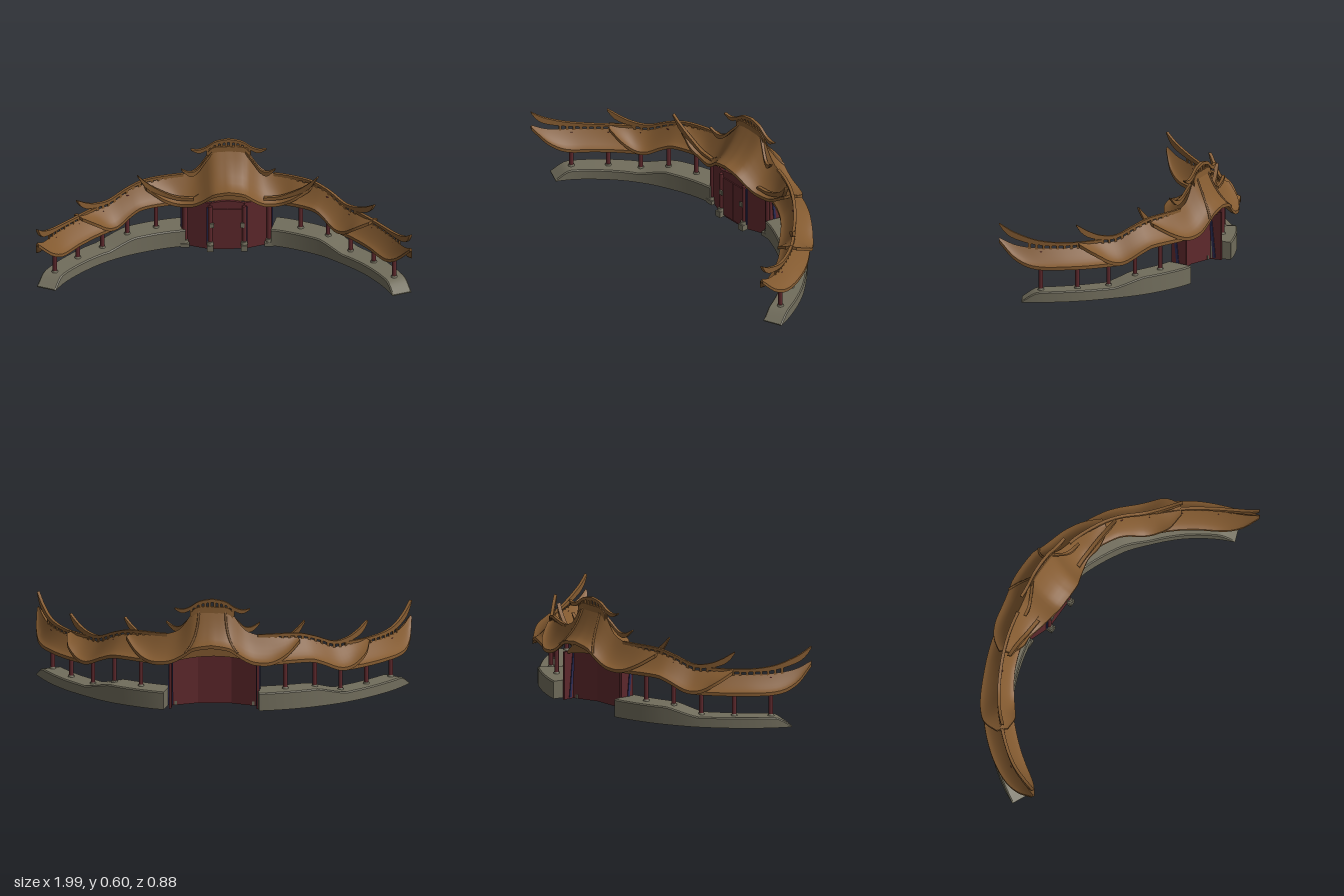
import * as THREE from 'three';
import { toCreasedNormals } from 'three/addons/utils/BufferGeometryUtils.js';

const material = (name, color) => {
  const m = new THREE.MeshStandardMaterial({ color, side: THREE.DoubleSide });
  m.name = name;
  return m;
};

// plan curve of the gallery, [x, z]
const plan = new THREE.CatmullRomCurve3([
  [-0.99, 0.33], [-0.89, 0.13], [-0.76, -0.025], [-0.63, -0.135], [-0.5, -0.21], [-0.35, -0.27],
  [-0.2, -0.305], [0.03, -0.32], [0.27, -0.3], [0.41, -0.25], [0.56, -0.165], [0.68, -0.06],
  [0.8, 0.07], [0.9, 0.23], [0.985, 0.44],
].map(([x, z]) => new THREE.Vector3(x, 0, z)));
const planLength = plan.getLength();

// frame at distance s from the middle; inner points to the courtyard side
function at(s) {
  const u = THREE.MathUtils.clamp(0.5 + s / planLength, 0, 1);
  const p = plan.getPointAt(u), t = plan.getTangentAt(u);
  return { p, inner: new THREE.Vector3(-t.z, 0, t.x) };
}
function place(s, y, offset = 0) {
  const { p, inner } = at(s);
  return p.addScaledVector(inner, offset).setY(y);
}

// smooth interpolation of a key table; the first column is the key
function interp(keys, s) {
  let i = 0;
  while (i < keys.length - 2 && s > keys[i + 1][0]) i++;
  const a = keys[i], b = keys[i + 1], p = keys[i - 1] || a, n = keys[i + 2] || b;
  const d = b[0] - a[0], t = THREE.MathUtils.clamp((s - a[0]) / d, 0, 1);
  return a.map((v, c) => {
    const ma = (b[c] - p[c]) / (b[0] - p[0]) * d, mb = (n[c] - v) / (n[0] - a[0]) * d;
    const t2 = t * t, t3 = t2 * t;
    return v * (2 * t3 - 3 * t2 + 1) + ma * (t3 - 2 * t2 + t) + b[c] * (3 * t2 - 2 * t3) + mb * (t3 - t2);
  });
}

// closed solid along the plan; ring(s) lists [offset, y] over the top, then back underneath
function loft(s0, s1, steps, ring, crease = 0.6) {
  const pos = [], index = [];
  let n = 0;
  for (let i = 0; i <= steps; i++) {
    const s = s0 + (s1 - s0) * i / steps;
    const pts = ring(s);
    n = pts.length;
    const { p, inner } = at(s);
    for (const [o, y] of pts) pos.push(p.x + inner.x * o, y, p.z + inner.z * o);
  }
  const quad = (a, b, c, d) => index.push(a, b, c, a, c, d);
  for (let i = 0; i < steps; i++) for (let j = 0; j < n; j++) {
    const k = (j + 1) % n;
    quad(i * n + j, i * n + k, (i + 1) * n + k, (i + 1) * n + j);
  }
  const e = steps * n;
  for (let j = 0; j < n / 2 - 1; j++) {
    quad(n - 1 - j, n - 2 - j, j + 1, j);
    quad(e + j, e + j + 1, e + n - 2 - j, e + n - 1 - j);
  }
  const g = new THREE.BufferGeometry();
  g.setAttribute('position', new THREE.Float32BufferAttribute(pos, 3));
  g.setIndex(index);
  return toCreasedNormals(g, crease);
}

// concave roof section from [s, ridge, eave, outer width, inner width]
const roofRing = (keys, power = 1.5) => (s) => {
  const [, ridge, eave, wOut, wIn] = interp(keys, Math.abs(s));
  const top = [], under = [];
  for (let j = -6; j <= 6; j++) {
    const k = j / 6, o = k * (k < 0 ? wOut : wIn);
    const y = eave + (ridge - eave) * Math.pow(1 - Math.abs(k), power);
    top.push([o, y + 0.012]);
    under.unshift([o, y - 0.006]);
  }
  return [...top, ...under];
};
// rectangular bar from [s, y, height, offset]
const barRing = (keys, half = 0.008) => (s) => {
  const [, y, h, o] = interp(keys, Math.abs(s));
  return [[o - half, y + h / 2], [o + half, y + h / 2], [o + half, y - h / 2], [o - half, y - h / 2]];
};

const endRoof = [[0.7, 0.275, 0.19, 0.085, 0.075], [0.95, 0.272, 0.19, 0.08, 0.078], [1.12, 0.278, 0.195, 0.062, 0.075],
  [1.22, 0.295, 0.24, 0.04, 0.052], [1.3, 0.332, 0.322, 0.008, 0.008]];
const middleRoof = [[0.28, 0.365, 0.262, 0.088, 0.07], [0.5, 0.355, 0.262, 0.09, 0.07], [0.56, 0.335, 0.242, 0.092, 0.072],
  [0.66, 0.29, 0.197, 0.098, 0.082], [0.73, 0.285, 0.203, 0.098, 0.085], [0.81, 0.29, 0.25, 0.085, 0.08],
  [0.88, 0.302, 0.293, 0.03, 0.03]];
const gateRoof = [[0, 0.535, 0.365, 0.12, 0.185], [0.09, 0.525, 0.348, 0.12, 0.178], [0.135, 0.465, 0.315, 0.115, 0.16],
  [0.17, 0.42, 0.29, 0.112, 0.145], [0.22, 0.395, 0.268, 0.11, 0.125], [0.3, 0.378, 0.265, 0.105, 0.095],
  [0.38, 0.37, 0.3, 0.08, 0.085], [0.46, 0.365, 0.355, 0.03, 0.04]];
const endCrest = [[0.74, 0.308, 0.014, 0], [0.95, 0.305, 0.016, 0], [1.1, 0.319, 0.024, 0], [1.22, 0.357, 0.034, 0],
  [1.27, 0.388, 0.03, 0], [1.3, 0.42, 0.008, 0]];
const middleCrest = [[0.24, 0.395, 0.016, 0], [0.46, 0.39, 0.016, 0], [0.56, 0.363, 0.016, 0], [0.67, 0.322, 0.018, 0],
  [0.76, 0.328, 0.024, 0], [0.83, 0.353, 0.034, 0], [0.865, 0.377, 0.03, 0], [0.89, 0.402, 0.008, 0]];
const gateCrest = [[0, 0.591, 0.018, 0], [0.07, 0.576, 0.018, 0], [0.12, 0.543, 0.02, 0], [0.16, 0.53, 0.02, 0], [0.2, 0.543, 0.006, 0]];
const upperHip = [[0.08, 0.53, 0.016, 0], [0.125, 0.48, 0.016, 0.02], [0.17, 0.43, 0.02, 0.036], [0.21, 0.42, 0.026, 0.045], [0.26, 0.453, 0.008, 0.05]];
const lowerHip = [[0.2, 0.3, 0.014, 0.1], [0.3, 0.305, 0.02, 0.08], [0.4, 0.345, 0.028, 0.055], [0.47, 0.395, 0.034, 0.042], [0.51, 0.448, 0.01, 0.036]];
// [s, height, half width]
const plinthKeys = [[0.24, 0.1, 0.075], [0.5, 0.1, 0.072], [0.55, 0.098, 0.07], [0.7, 0.06, 0.066], [0.75, 0.06, 0.064],
  [1.06, 0.06, 0.056], [1.11, 0.055, 0.055], [1.18, 0.01, 0.054]];

export function createModel() {
  const model = new THREE.Group();
  const tile = material('roof brown', 0x835a30);
  const red = material('dark red', 0x5e282c);
  const stone = material('grey stone', 0x716d5c);
  const navy = material('navy trim', 0x2c2d55);
  const add = (name, geometry, mat, x = 0, y = 0, z = 0) => {
    const mesh = new THREE.Mesh(geometry, mat);
    mesh.name = name;
    mesh.position.set(x, y, z);
    model.add(mesh);
    return mesh;
  };
  // solid on one side of the gate, in ascending order of s
  const side = (name, sign, a, b, steps, ring, mat, crease) =>
    add(name, sign > 0 ? loft(a, b, steps, ring, crease) : loft(-b, -a, steps, ring, crease), mat);
  // small uprights between a roof ridge and its crest bar
  const slats = (name, sign, a, b, count, crest, roof) => {
    for (let i = 0; i <= count; i++) {
      const s = a + (b - a) * i / count;
      const top = interp(crest, s)[1], low = interp(roof, s)[1];
      const p = place(sign * s, (top + low) / 2), dir = at(sign * s).inner;
      const m = add(name, new THREE.BoxGeometry(0.014, Math.max(0.01, top - low), 0.008), tile, p.x, p.y, p.z);
      m.rotation.y = Math.atan2(dir.x, dir.z);
    }
  };

  for (const sign of [-1, 1]) {
    // plinth with a thin chamfer and sloping end
    side('plinth', sign, 0.24, 1.18, 40, (s) => {
      const [, h, w] = interp(plinthKeys, Math.abs(s)), c = Math.min(0.006, h - 0.006), t = w - 0.006;
      return [[-w, h - c], [-t, h], [t, h], [w, h - c], [w, 0.004], [t, 0.004], [-t, 0.004], [-w, 0.004]];
    }, stone, 0.4);

    // gallery roofs with crests and upturned horns
    side('endRoof', sign, 0.7, 1.3, 24, roofRing(endRoof), tile);
    side('middleRoof', sign, 0.28, 0.88, 28, roofRing(middleRoof), tile);
    side('endCrest', sign, 0.74, 1.3, 28, barRing(endCrest), tile);
    side('middleCrest', sign, 0.24, 0.89, 32, barRing(middleCrest), tile);
    side('upperHip', sign, 0.08, 0.26, 16, barRing(upperHip), tile);
    side('lowerHip', sign, 0.2, 0.51, 18, barRing(lowerHip, 0.01), tile);
    slats('endSlat', sign, 0.88, 1.14, 7, endCrest, endRoof);
    slats('middleSlat', sign, 0.3, 0.78, 13, middleCrest, middleRoof);

    // rib down the back of the gate roof
    const rib = [];
    for (let i = 0; i <= 6; i++) {
      const k = i / 6, s = 0.07 + 0.06 * k * k;
      const [, ridge, eave, w] = interp(gateRoof, s);
      rib.push(place(sign * s, eave + (ridge - eave) * Math.pow(1 - k, 1.8) + 0.014, -w * k));
    }
    add('backRib', new THREE.TubeGeometry(new THREE.CatmullRomCurve3(rib), 14, 0.006, 6), tile);

    // gallery columns on stone feet
    for (const s of [0.39, 0.555, 0.71, 0.885, 1.08]) {
      const base = interp(plinthKeys, s)[1];
      const top = interp(s > 0.8 ? endRoof : middleRoof, s)[1] - 0.004;
      const p = place(sign * s, 0);
      add('column', new THREE.CylinderGeometry(0.012, 0.012, top - base, 10), red, p.x, (top + base) / 2, p.z);
      add('columnFoot', new THREE.CylinderGeometry(0.014, 0.018, 0.01, 10), stone, p.x, base + 0.004, p.z);
    }

    // gate wing wall, angled back from the door to the end wall
    const dx = 0.145, dz = 0.055;
    const wing = add('gateWingWall', new THREE.BoxGeometry(Math.hypot(dx, dz), 0.275, 0.014), red,
      0.03 + sign * (0.09 + dx / 2), 0.1375, -0.21 - dz / 2);
    wing.rotation.y = sign * Math.atan2(dz, dx);

    // gate end wall with navy trim on both faces
    const x = 0.03 + sign * 0.232;
    add('gateEndWall', new THREE.BoxGeometry(0.014, 0.26, 0.08), red, x, 0.13, -0.29);
    for (const face of [-1, 1])
      add('gateEndTrim', new THREE.BoxGeometry(0.006, 0.245, 0.014), navy, x + face * 0.009, 0.13, -0.279).rotation.x = 0.1;
    add('doorTrim', new THREE.BoxGeometry(0.006, 0.22, 0.009), navy, 0.03 + sign * 0.105, 0.14, -0.203);

    // gate posts on stone feet
    for (const [d, r, z, w, h] of [[0.222, 0.014, -0.252, 0.046, 0.022], [0.09, 0.012, -0.2, 0.034, 0.034]]) {
      const px = 0.03 + sign * d;
      add('gatePost', new THREE.CylinderGeometry(r, r, 0.26, 10), red, px, 0.13, z);
      add('gatePostFoot', new THREE.BoxGeometry(w, h, 0.04), stone, px, h / 2, z + 0.008);
      add('gatePostDrum', new THREE.CylinderGeometry(0.015, 0.019, 0.016, 8), stone, px, h + 0.008, z + 0.006);
    }
    add('doorFitting', new THREE.BoxGeometry(0.022, 0.026, 0.008), stone, 0.03 + sign * 0.08, 0.15, -0.187);
    add('doorLeaf', new THREE.BoxGeometry(0.076, 0.23, 0.006), red, 0.03 + sign * 0.039, 0.125, -0.201);
  }

  // gate roof and openwork crest
  add('gateRoof', loft(-0.46, 0.46, 48, roofRing(gateRoof, 1.8)), tile);
  add('gateCrest', loft(-0.2, 0.2, 36, barRing(gateCrest)), tile);
  add('gateRidge', loft(-0.11, 0.11, 16, (s) => {
    const y = interp(gateRoof, Math.abs(s))[1];
    return [[-0.009, y + 0.022], [0.009, y + 0.022], [0.012, y - 0.01], [-0.012, y - 0.01]];
  }), tile);
  for (const sign of [-1, 1]) slats('gateSlat', sign, 0.013, 0.11, 4, gateCrest, gateRoof);

  // door wall with an arched top, and the arched board above the gate
  const wall = new THREE.Shape();
  wall.moveTo(-0.06, 0);
  wall.lineTo(0.12, 0);
  wall.lineTo(0.12, 0.275);
  wall.quadraticCurveTo(0.03, 0.3, -0.06, 0.275);
  add('doorWall', new THREE.ExtrudeGeometry(wall, { depth: 0.014, bevelEnabled: false }), red, 0, 0, -0.217);
  const board = new THREE.Shape();
  board.moveTo(-0.205, 0.245);
  board.quadraticCurveTo(0.03, 0.32, 0.265, 0.245);
  board.lineTo(0.265, 0.255);
  board.quadraticCurveTo(0.03, 0.49, -0.205, 0.255);
  add('archBoard', new THREE.ExtrudeGeometry(board, { depth: 0.09, bevelEnabled: false }), tile, 0, 0, -0.31);
  return model;
}
